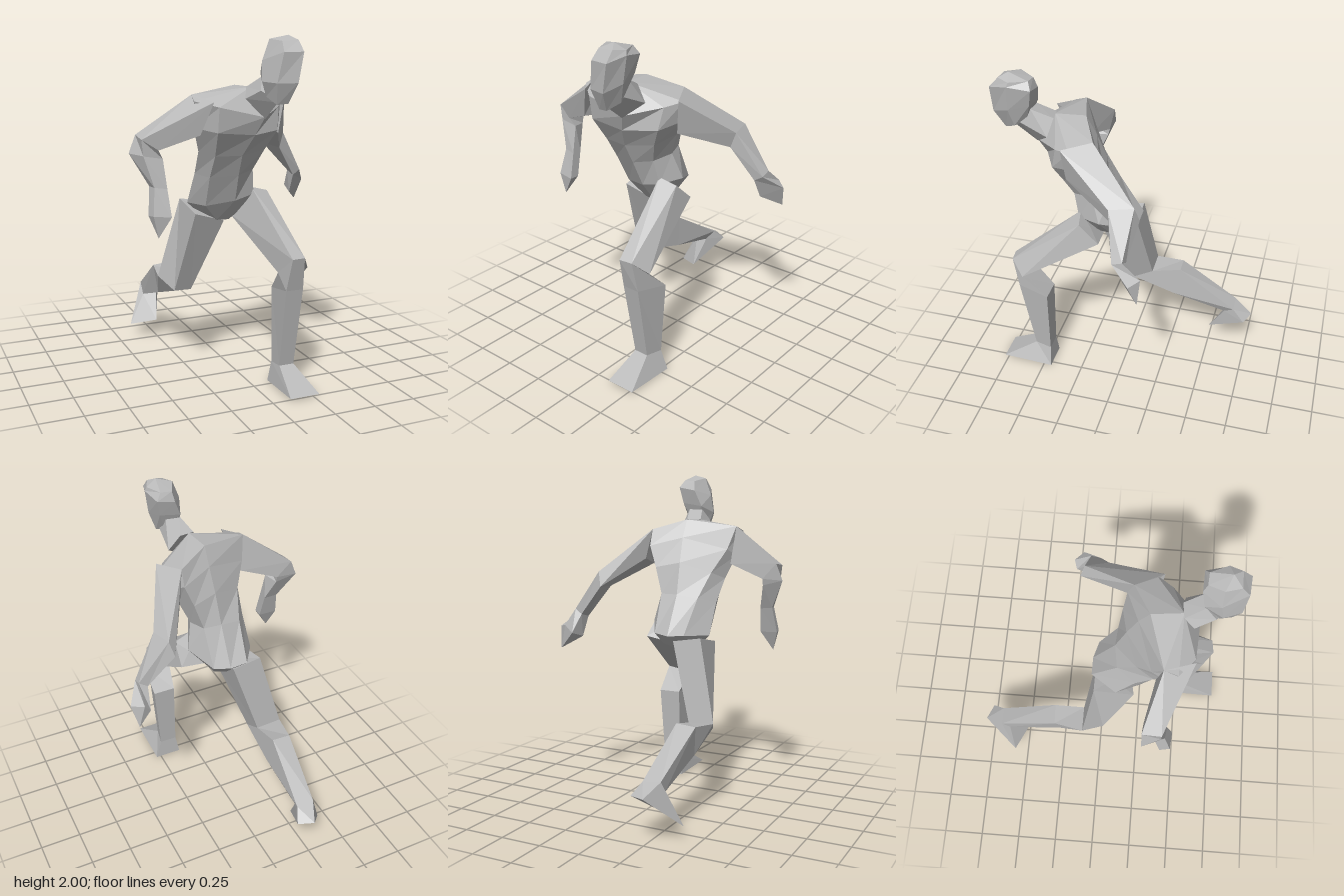
import * as THREE from 'three';

// Faceted skin over matching rings of points; each end closes on its tip point or its centre.
function loft(rings, startTip, endTip) {
  const centre = (ring) => [0, 1, 2].map((k) => ring.reduce((s, p) => s + p[k], 0) / ring.length);
  const n = rings[0].length;
  const last = rings[rings.length - 1];
  const a = startTip || centre(rings[0]);
  const b = endTip || centre(last);
  const tris = [];
  for (let j = 0; j < n; j++) {
    const k = (j + 1) % n;
    tris.push([a, rings[0][k], rings[0][j]], [b, last[j], last[k]]);
    for (let i = 0; i + 1 < rings.length; i++) {
      const lo = rings[i], hi = rings[i + 1];
      tris.push([lo[j], lo[k], hi[k]], [lo[j], hi[k], hi[j]]);
    }
  }
  // Signed volume tells whether the faces point outwards
  const mid = centre(rings.flat());
  let volume = 0;
  for (const t of tris) {
    const [p, q, r] = t.map((v) => new THREE.Vector3(v[0] - mid[0], v[1] - mid[1], v[2] - mid[2]));
    volume += p.dot(q.cross(r));
  }
  if (volume < 0) tris.forEach((t) => t.reverse());
  const geometry = new THREE.BufferGeometry();
  geometry.setAttribute('position', new THREE.Float32BufferAttribute(tris.flat(2), 3));
  geometry.computeVertexNormals();
  return geometry;
}

export function createModel() {
  const model = new THREE.Group();
  model.name = 'runningFigure';
  const grey = new THREE.MeshStandardMaterial({ color: 0xb8b8b8 });
  grey.name = 'plainGrey';
  const add = (name, rings, startTip, endTip) => {
    const mesh = new THREE.Mesh(loft(rings, startTip, endTip), grey);
    mesh.name = name;
    model.add(mesh);
  };

  // Torso rings run: front centre, front left, left, back left, back centre, back right, right, front right
  const waist = [[-.04, 1.22, .36], [.07, 1.24, .31], [.11, 1.26, .19], [.07, 1.27, .08],
    [-.04, 1.27, .07], [-.17, 1.25, .09], [-.245, 1.22, .2], [-.2, 1.21, .32]];
  add('pelvis', [
    [[-.03, .93, .19], [.03, .97, .19], [.05, .98, .1], [.03, .97, .03],
      [-.05, .95, .02], [-.13, .95, .03], [-.17, .95, .1], [-.1, .93, .18]],
    [[-.03, 1.06, .29], [.09, 1.09, .28], [.15, 1.1, .14], [.06, 1.04, -.03],
      [-.04, 1.03, -.06], [-.15, 1.04, -.06], [-.25, 1.03, .09], [-.19, 1.03, .23]],
    waist,
  ]);
  add('chest', [
    waist,
    [[-.045, 1.34, .42], [.12, 1.36, .36], [.17, 1.4, .22], [.12, 1.43, .1],
      [-.03, 1.46, .13], [-.21, 1.4, .2], [-.26, 1.36, .3], [-.2, 1.34, .4]],
    [[0, 1.46, .49], [.18, 1.47, .4], [.24, 1.5, .25], [.17, 1.56, .12],
      [-.02, 1.61, .19], [-.28, 1.54, .28], [-.31, 1.5, .36], [-.22, 1.48, .49]],
    [[.04, 1.56, .53], [.2, 1.6, .37], [.26, 1.62, .27], [.17, 1.66, .155],
      [-.02, 1.72, .25], [-.315, 1.68, .34], [-.33, 1.65, .42], [-.22, 1.62, .51]],
  ], null, [0, 1.72, .43]);

  // Neck leans forward into the head
  add('neck', [
    [[.04, 1.55, .53], [.13, 1.63, .44], [.06, 1.72, .42], [-.03, 1.72, .43], [-.06, 1.66, .49]],
    [[.05, 1.65, .66], [.12, 1.7, .6], [.1, 1.78, .54], [.01, 1.78, .54], [-.02, 1.71, .6]],
  ]);

  // Head rings run: front left, left, back left, back right, right, front right
  add('head', [
    [[.09, 1.645, .7], [.13, 1.68, .63], [.1, 1.71, .565], [.02, 1.71, .565], [0, 1.68, .62], [.03, 1.64, .69]],
    [[.12, 1.755, .755], [.165, 1.79, .65], [.14, 1.82, .53], [.01, 1.8, .525], [-.03, 1.76, .63], [.01, 1.755, .73]],
    [[.15, 1.915, .755], [.185, 1.94, .64], [.16, 1.92, .51], [.05, 1.9, .505], [-.02, 1.87, .61], [.04, 1.915, .745]],
    [[.145, 1.975, .7], [.175, 1.965, .63], [.13, 1.965, .53], [.06, 1.96, .525], [.02, 1.98, .61], [.05, 1.97, .7]],
  ], null, [.11, 2, .65]);

  // Arms: shoulder, elbow, wrist, palm, fingertip
  const leftWrist = [[.57, 1.15, -.06], [.57, 1.17, -.12], [.52, 1.14, -.13], [.52, 1.12, -.05]];
  add('leftArm', [
    [[.26, 1.635, .32], [.17, 1.66, .155], [.2, 1.48, .12], [.235, 1.44, .3]],
    [[.42, 1.4, 0], [.385, 1.41, -.14], [.36, 1.32, -.165], [.39, 1.31, .01]],
    leftWrist,
  ]);
  add('leftHand', [
    leftWrist,
    [[.645, 1.065, -.17], [.58, 1.08, -.225], [.54, 1.03, -.21], [.525, 1, -.11]],
  ], null, [.615, .935, -.215]);

  const rightWrist = [[-.56, 1.19, .33], [-.55, 1.19, .39], [-.48, 1.18, .4], [-.48, 1.18, .34]];
  add('rightArm', [
    [[-.315, 1.68, .34], [-.25, 1.65, .51], [-.31, 1.47, .46], [-.29, 1.45, .31]],
    [[-.61, 1.465, .25], [-.61, 1.45, .36], [-.52, 1.39, .38], [-.52, 1.37, .26]],
    [[-.65, 1.365, .255], [-.6, 1.36, .36], [-.49, 1.34, .36], [-.52, 1.33, .27]],
    rightWrist,
  ]);
  add('rightHand', [
    rightWrist,
    [[-.58, 1.035, .37], [-.57, 1.04, .43], [-.47, 1.03, .44], [-.47, 1.03, .38]],
  ], null, [-.54, .915, .42]);

  // Front leg, planted: hip, knee, calf, ankle
  const leftAnkle = [[.13, .13, .565], [.22, .13, .565], [.24, .12, .46], [.13, .12, .46]];
  add('leftLeg', [
    [[.08, 1.13, .27], [.19, 1.1, .25], [.2, .99, .13], [0, .95, .15]],
    [[.14, .79, .69], [.22, .79, .68], [.28, .71, .6], [.11, .69, .57]],
    [[.125, .6, .645], [.23, .6, .645], [.27, .57, .45], [.13, .57, .45]],
    leftAnkle,
  ]);
  add('leftFoot', [
    leftAnkle,
    [[.1, .015, .77], [.28, .015, .77], [.28, 0, .45], [.11, 0, .45]],
  ]);

  // Trailing leg, lifted behind
  const rightAnkle = [[-.31, .27, -.61], [-.22, .29, -.6], [-.2, .33, -.66], [-.31, .34, -.66]];
  add('rightLeg', [
    [[-.24, .98, .2], [-.05, .92, .17], [-.07, 1, -.04], [-.25, 1.03, -.04]],
    [[-.31, .475, .02], [-.2, .47, .01], [-.21, .53, -.11], [-.37, .54, -.11]],
    [[-.32, .385, -.26], [-.2, .385, -.26], [-.22, .57, -.295], [-.34, .56, -.29]],
    rightAnkle,
  ]);
  add('rightFoot', [
    rightAnkle,
    [[-.41, .08, -.58], [-.255, .115, -.5], [-.165, .265, -.735], [-.26, .27, -.775]],
  ]);

  return model;
}
